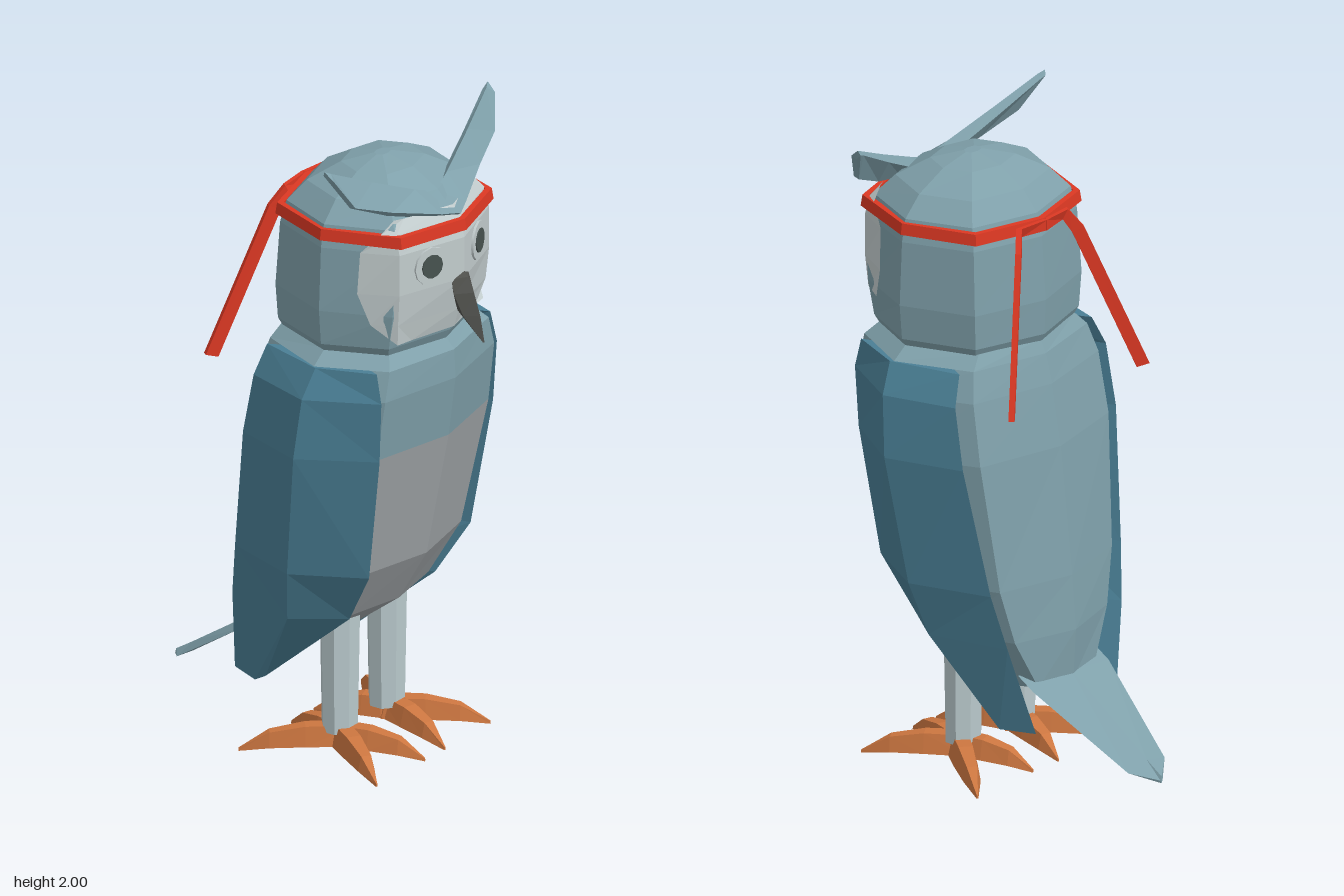
import * as THREE from 'three';

const mat = (name, color) => {
  const m = new THREE.MeshStandardMaterial({ color });
  m.name = name;
  return m;
};
const M = {
  plumage: mat('grey blue plumage', 0x7fa0aa),
  wing: mat('dark teal wing', 0x4a7f95),
  belly: mat('belly grey', 0xa0a5a8),
  face: mat('pale face', 0xc2cccd),
  leg: mat('pale leg', 0xb9c9cc),
  foot: mat('orange foot', 0xcc7640),
  beak: mat('dark beak', 0x51524e),
  pupil: mat('dark pupil', 0x47524f),
  band: mat('red band', 0xdc3823),
};

// Faceted skin over rows of points; solids are capped and turned outwards
function loft(rows, { closed = true, caps = true } = {}) {
  const tris = [];
  const n = rows[0].length;
  for (let r = 0; r < rows.length - 1; r++) {
    for (let c = 0; c < (closed ? n : n - 1); c++) {
      const d = (c + 1) % n;
      const [p, q, s, t] = [rows[r][c], rows[r][d], rows[r + 1][d], rows[r + 1][c]];
      tris.push([p, q, s], [p, s, t]);
    }
  }
  if (closed && caps) {
    const a = rows[0], b = rows[rows.length - 1];
    for (let c = 1; c < n - 1; c++) tris.push([a[0], a[c + 1], a[c]], [b[0], b[c], b[c + 1]]);
  }
  if (closed) {
    const v = p => new THREE.Vector3(...p);
    const o = v(rows[0][0]);
    let volume = 0;
    for (const [p, q, s] of tris) volume += v(p).sub(o).dot(v(q).sub(o).cross(v(s).sub(o)));
    if (volume < 0) tris.forEach(t => t.reverse());
  }
  const g = new THREE.BufferGeometry();
  g.setAttribute('position', new THREE.Float32BufferAttribute(tris.flat(2), 3));
  g.computeVertexNormals();
  return g;
}

// Eight-sided ring, starting at the front and turning towards +x
function ring([y, w, zf, zb, zc], kx = 0.72, kz = 0.79) {
  const f = zf - zc, b = zb - zc;
  return [[0, f], [kx * w, f * kz], [w, 0], [kx * w, b * kz], [0, b],
    [-kx * w, b * kz], [-w, 0], [-kx * w, f * kz]].map(([x, z]) => [x, y, zc + z]);
}

const mirrorRows = (rows, s) => rows.map(r => r.map(([x, y, z]) => [x * s, y, z]));

export function createModel() {
  const owl = new THREE.Group();
  owl.name = 'owl';
  const add = (name, geometry, material) => {
    const m = new THREE.Mesh(geometry, material);
    m.name = name;
    owl.add(m);
    return m;
  };
  const pair = (name, rows, material) => {
    add(name + 'Left', loft(rows), material);
    add(name + 'Right', loft(mirrorRows(rows, -1)), material);
  };

  // Body: grey belly in front, plumage elsewhere
  const body = [
    [0.32, 0.17, 0.04, -0.21, -0.08],
    [0.48, 0.28, 0.25, -0.22, 0.06],
    [0.65, 0.34, 0.35, -0.205, 0.1],
    [1.05, 0.39, 0.43, -0.16, 0.15],
    [1.24, 0.38, 0.455, -0.125, 0.18],
    [1.33, 0.345, 0.45, -0.1, 0.19],
    [1.37, 0.29, 0.41, -0.08, 0.19],
  ].map(r => ring(r));
  const lower = body.slice(0, 4);
  add('belly', loft(lower.map(r => [r[7], r[0], r[1]]), { closed: false }), M.belly);
  add('backPlumage', loft(lower.map(r => r.slice(1)), { closed: false }), M.plumage);
  add('chest', loft(body.slice(3), { caps: false }), M.plumage);
  const under = body[0];
  add('underside', loft([[under[4], under[5], under[6], under[7], under[0]],
    [under[4], under[3], under[2], under[1], under[0]]], { closed: false }), M.belly);

  // Wings: front edge, outer ridge, rear edge, inner edge
  pair('wing', [
    [[0.18, 0.2, -0.105], [0.22, 0.2, -0.115], [0.175, 0.2, -0.22], [0.15, 0.2, -0.19]],
    [[0.215, 0.48, 0.225], [0.32, 0.48, 0.075], [0.25, 0.48, -0.175], [0.15, 0.48, 0]],
    [[0.255, 0.65, 0.325], [0.37, 0.65, 0.11], [0.285, 0.65, -0.14], [0.2, 0.65, 0.05]],
    [[0.285, 1.05, 0.385], [0.415, 1.05, 0.165], [0.335, 1.05, -0.075], [0.25, 1.05, 0.13]],
    [[0.29, 1.24, 0.395], [0.4, 1.24, 0.185], [0.33, 1.24, -0.04], [0.25, 1.24, 0.15]],
    [[0.285, 1.33, 0.375], [0.352, 1.33, 0.2], [0.29, 1.33, -0.02], [0.2, 1.33, 0.17]],
  ], M.wing);

  // Tail: flat wedge with a centre ridge
  const tailRow = (w, y, z, t) => [[-w, y, z], [0, y + t, z], [w, y, z], [0, y - 0.01, z]];
  add('tail', loft([
    tailRow(0.165, 0.36, -0.14, 0.02), tailRow(0.165, 0.325, -0.2, 0.02),
    tailRow(0.08, 0.125, -0.5, 0.02), tailRow(0.005, 0.095, -0.56, 0.012),
  ]), M.plumage);

  // Head
  add('head', loft([
    [1.34, 0.28, 0.41, -0.07, 0.19],
    [1.39, 0.31, 0.435, -0.095, 0.19],
    [1.5, 0.32, 0.46, -0.1, 0.19],
    [1.7, 0.31, 0.47, -0.085, 0.19],
    [1.77, 0.295, 0.45, -0.065, 0.19],
    [1.83, 0.235, 0.39, -0.01, 0.19],
    [1.88, 0.13, 0.3, 0.08, 0.19],
    [1.9, 0.03, 0.21, 0.17, 0.19],
  ].map(r => ring(r, 0.73, 0.76))), M.plumage);

  // Facial disc: [y, edge x, edge z, cheek x, cheek z, centre z]
  add('face', loft([
    [1.405, 0.215, 0.4, 0.16, 0.41, 0.45],
    [1.47, 0.262, 0.335, 0.22, 0.405, 0.468],
    [1.57, 0.283, 0.302, 0.225, 0.414, 0.487],
    [1.7, 0.275, 0.307, 0.225, 0.414, 0.487],
    [1.76, 0.245, 0.36, 0.222, 0.4, 0.47],
    [1.795, 0.2, 0.375, 0.17, 0.39, 0.445],
  ].map(([y, ex, ez, cx, cz, z]) =>
    [[-ex, y, ez], [-cx, y, cz], [0, y, z], [cx, y, cz], [ex, y, ez]]), { closed: false }), M.face);

  // Eyes: thin discs lying on the face
  for (const s of [1, -1]) {
    const eye = new THREE.Group();
    eye.name = s > 0 ? 'eyeLeft' : 'eyeRight';
    [['eyeRing', 0.06, 0.002, M.face], ['pupil', 0.037, 0.006, M.pupil]].forEach(([name, r, off, m]) => {
      const disc = new THREE.Mesh(new THREE.CylinderGeometry(r, r, 0.008, 12).rotateX(Math.PI / 2), m);
      disc.name = name;
      disc.position.z = off;
      eye.add(disc);
    });
    eye.position.set(s * 0.117, 1.64, 0.45);
    eye.rotation.y = s * 0.315;
    owl.add(eye);
  }

  // Beak: hooked four-sided spike
  add('beak', loft([
    [1.38, 0.003, 0.56, 0.552], [1.46, 0.028, 0.545, 0.46], [1.53, 0.045, 0.522, 0.44],
    [1.575, 0.042, 0.5, 0.44], [1.6, 0.015, 0.48, 0.45],
  ].map(([y, w, zf, zb]) => [[0, y, zf], [w, y, (zf + zb) / 2], [0, y, zb], [-w, y, (zf + zb) / 2]])), M.beak);

  // Brow tufts sweeping up and out
  pair('brow', [
    [[0, 1.82, 0.38], [0, 1.775, 0.475], [0, 1.755, 0.45], [0, 1.78, 0.36]],
    [[0.08, 1.85, 0.365], [0.06, 1.785, 0.45], [0.06, 1.765, 0.42], [0.08, 1.82, 0.34]],
    [[0.24, 1.92, 0.325], [0.22, 1.83, 0.385], [0.22, 1.815, 0.365], [0.24, 1.9, 0.305]],
    [[0.39, 1.99, 0.285], [0.35, 1.88, 0.345], [0.35, 1.875, 0.325], [0.39, 1.98, 0.27]],
    [[0.41, 2, 0.275], [0.405, 1.975, 0.305], [0.4, 1.965, 0.29], [0.405, 1.985, 0.268]],
  ], M.plumage);

  // Headband: outer and inner loops of a flat hoop
  const hoop = (y, d) => ring([y, 0.306 + d, 0.485 + d, -0.088 - d, 0.19], 0.735, 0.775);
  add('headband', loft([hoop(1.725, -0.015), hoop(1.725, 0.009), hoop(1.76, 0.004),
    hoop(1.76, -0.015), hoop(1.725, -0.015)], { caps: false }), M.band);

  // Band ties hanging behind
  const tieRow = (x, y, z, wx, wy, wz) => [[1, 1], [1, -1], [-1, -1], [-1, 1]].map(([a, b]) =>
    [x + a * wx + b * 0.005, y + a * wy, z + a * wz + b * 0.007]);
  pair('tie', [
    tieRow(0, 1.742, -0.1, 0, 0.017, 0),
    tieRow(0.1, 1.742, -0.085, 0.006, 0.016, -0.005),
    tieRow(0.13, 1.69, -0.11, 0.014, 0.008, -0.011),
    tieRow(0.287, 1.24, -0.225, 0.015, 0.005, -0.012),
  ], M.band);

  // Legs and four-toed feet
  for (const s of [1, -1]) {
    const side = s > 0 ? 'Left' : 'Right';
    const leg = add('leg' + side, new THREE.CylinderGeometry(0.068, 0.06, 0.42, 8).toNonIndexed(), M.leg);
    leg.geometry.rotateY(Math.PI / 8);
    leg.geometry.computeVertexNormals();
    leg.scale.z = 0.88;
    leg.position.set(s * 0.118, 0.28, 0.12);

    [[0.285, 0.375], [0.05, 0.38], [0.31, -0.11], [0.055, -0.1]].forEach(([tx, tz], i) => {
      const dx = tx - 0.125, dz = tz - 0.13, len = Math.hypot(dx, dz);
      const px = dz / len, pz = -dx / len;
      // Toe sections: [distance, half width, underside, top]
      const rows = [[-0.1, 0.04, 0.03, 0.09], [0.35, 0.036, 0.028, 0.088],
        [0.7, 0.026, 0.022, 0.068], [1, 0.003, 0.005, 0.014]].map(([t, w, lo, hi]) => {
        const x = 0.125 + dx * t, z = 0.13 + dz * t;
        return [[x - px * w, lo, z - pz * w], [x + px * w, lo, z + pz * w],
          [x + px * w * 0.6, hi, z + pz * w * 0.6], [x - px * w * 0.6, hi, z - pz * w * 0.6]];
      });
      add('toe' + side + (i + 1), loft(mirrorRows(rows, s)), M.foot);
    });
  }
  return owl;
}
